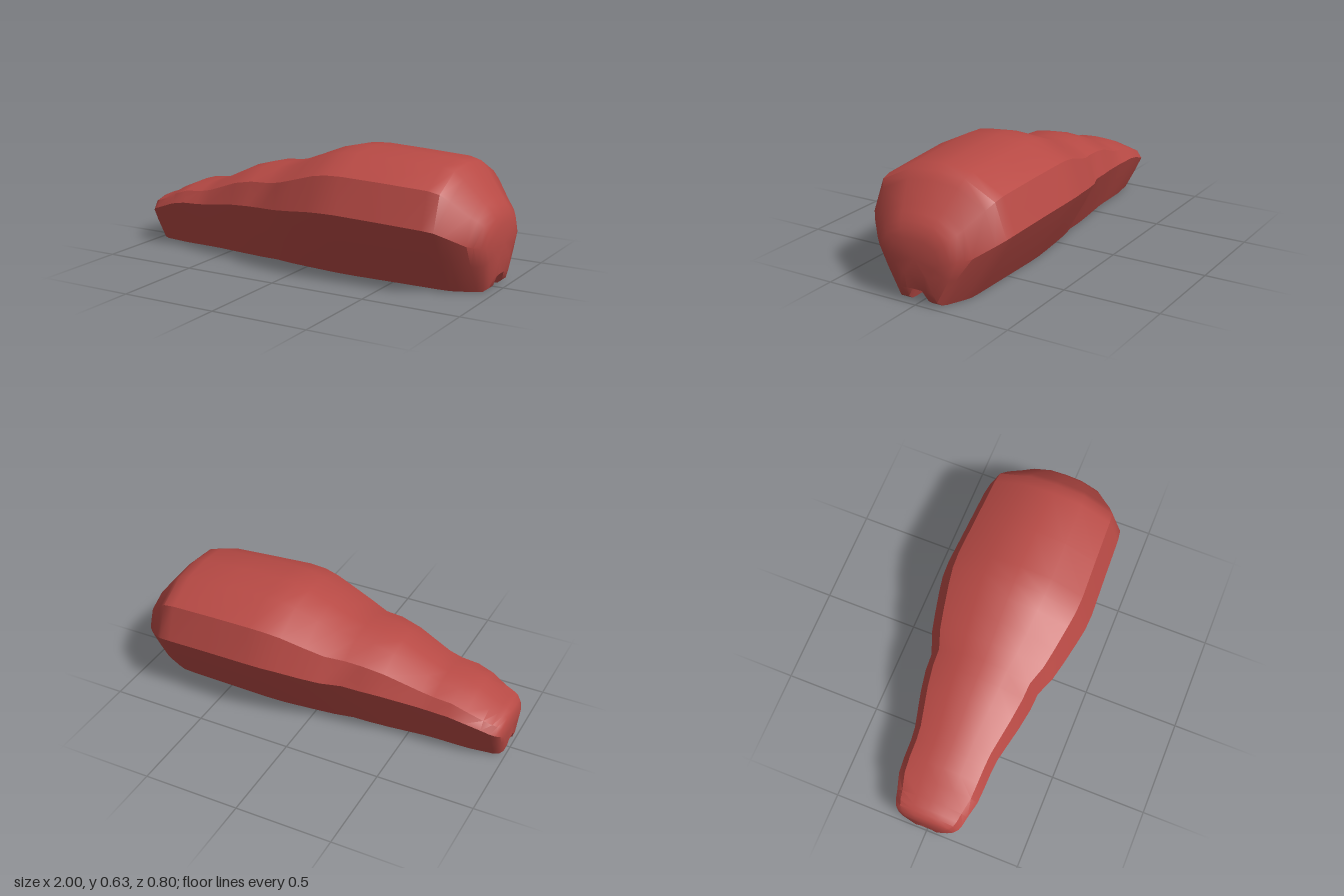
import * as THREE from 'three';
import { toCreasedNormals } from 'three/addons/utils/BufferGeometryUtils.js';

// Stations along the length: x, crown height, ridge height, half width, underside height
const stations = [
  [-1, 0.2, 0.15, 0.12, 0.055], [-0.99, 0.228, 0.17, 0.148, 0.025], [-0.97, 0.244, 0.183, 0.17, 0.006],
  [-0.945, 0.253, 0.192, 0.18, 0], [-0.9, 0.268, 0.208, 0.19, 0], [-0.82, 0.312, 0.238, 0.212, 0],
  [-0.74, 0.346, 0.253, 0.217, 0], [-0.65, 0.355, 0.257, 0.219, 0], [-0.58, 0.376, 0.264, 0.226, 0],
  [-0.4, 0.46, 0.295, 0.268, 0], [-0.29, 0.49, 0.305, 0.287, 0], [-0.2, 0.496, 0.307, 0.292, 0],
  [-0.1, 0.519, 0.318, 0.333, 0], [0, 0.558, 0.33, 0.357, 0], [0.12, 0.606, 0.346, 0.382, 0],
  [0.2, 0.625, 0.353, 0.396, 0], [0.29, 0.63, 0.355, 0.4, 0], [0.5, 0.622, 0.346, 0.39, 0],
  [0.74, 0.61, 0.335, 0.38, 0], [0.8, 0.594, 0.328, 0.372, 0], [0.84, 0.557, 0.306, 0.341, 0],
  [0.92, 0.46, 0.255, 0.265, 0], [0.945, 0.432, 0.248, 0.24, 0.003], [0.97, 0.4, 0.242, 0.215, 0.022],
  [0.987, 0.366, 0.238, 0.19, 0.07], [1, 0.325, 0.23, 0.14, 0.15],
];

// Closed cross-section: faceted crown, side ridge, tapered flank and a channel underneath
function section([x, top, ridge, w, base]) {
  const shoulder = ridge + 0.64 * (top - ridge);
  const half = [
    [0.41 * w, top - 0.15 * (top - shoulder)],
    [0.84 * w, shoulder],
    [w, ridge],
    [0.79 * w, base + 0.57 * (ridge - base)],
    [0.475 * w, base],
    [0.055, base],
    [0.03, Math.max(0.073, base)],
  ];
  const points = [[x, top, 0]];
  half.forEach(([z, y]) => points.push([x, y, z]));
  half.reverse().forEach(([z, y]) => points.push([x, y, -z]));
  return points;
}

function loft(rings) {
  const n = rings[0].length, last = rings.length - 1;
  const positions = rings.flat(2), index = [];
  for (let i = 0; i < last; i++) {
    for (let j = 0; j < n; j++) {
      const k = (j + 1) % n;
      const a = i * n + j, b = i * n + k, c = a + n, d = b + n;
      index.push(a, b, c, b, d, c);
    }
  }
  // End caps as fans around a centre point
  const centre = (last + 1) * n;
  positions.push(-1, 0.14, 0, 1, 0.23, 0);
  for (let j = 0; j < n; j++) {
    const k = (j + 1) % n;
    index.push(centre, k, j, centre + 1, last * n + j, last * n + k);
  }
  const geometry = new THREE.BufferGeometry();
  geometry.setAttribute('position', new THREE.Float32BufferAttribute(positions, 3));
  geometry.setIndex(index);
  return toCreasedNormals(geometry, 0.62);
}

export function createModel() {
  const group = new THREE.Group();
  group.name = 'shell';
  const red = new THREE.MeshStandardMaterial({ color: 0xb84a45 });
  red.name = 'brick red';

  // Body with the lengthwise channel
  const body = new THREE.Mesh(loft(stations.map(section)), red);
  body.name = 'body';
  group.add(body);
  return group;
}
